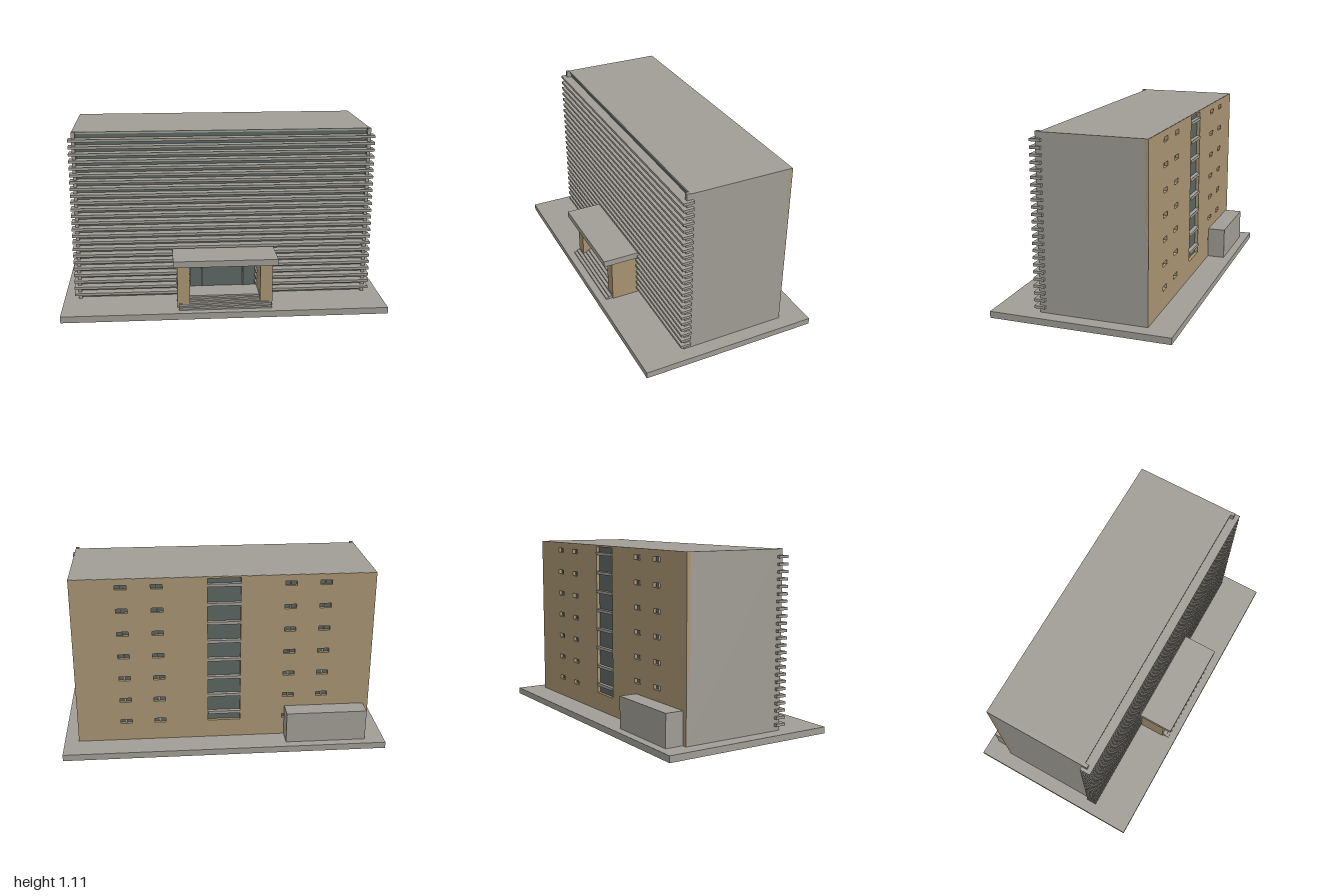
import * as THREE from 'three';

export function createModel() {
  const model = new THREE.Group();
  model.name = 'officeBlock';
  const material = (name, color) => {
    const m = new THREE.MeshStandardMaterial({ color });
    m.name = name;
    return m;
  };
  const concrete = material('concrete', 0xa09d95);
  const stone = material('sandstone', 0xa89472);
  const glass = material('glass', 0x5c6663);

  // Box given by its limits on each axis
  const box = (name, mat, x0, x1, y0, y1, z0, z1, parent = model) => {
    const mesh = new THREE.Mesh(new THREE.BoxGeometry(x1 - x0, y1 - y0, z1 - z0), mat);
    mesh.position.set((x0 + x1) / 2, (y0 + y1) / 2, (z0 + z1) / 2);
    mesh.name = name;
    parent.add(mesh);
    return mesh;
  };
  const group = (name) => {
    const g = new THREE.Group();
    g.name = name;
    model.add(g);
    return g;
  };

  const GROUND = 0.04, ROOF = 1.104, BACK = -0.388;

  // Plinth, side walls, roof and glazed core
  box('plinth', concrete, -1, 1, 0, GROUND, -0.553, 0.553);
  for (const s of [-1, 1]) {
    const [a, b] = [s * 0.89, s * 0.912].sort((p, q) => p - q);
    box('sideWall', concrete, a, b, GROUND, ROOF, BACK + 0.002, 0.25);
    box('frontPilaster', concrete, a, b, GROUND, ROOF + 0.003, 0.25, 0.272);
  }
  box('roof', concrete, -0.89, 0.89, ROOF - 0.012, ROOF, BACK + 0.002, 0.25);
  box('glazedCore', glass, -0.89, 0.89, GROUND, ROOF - 0.012, BACK + 0.02, 0.242);

  // Horizontal sunshade fins, interrupted at the entrance
  const fins = group('sunshadeFins');
  for (let i = 0; i < 24; i++) {
    const y = 0.077 + i * 0.0427;
    const spans = i < 6 ? [[-0.932, -0.205], [0.205, 0.932]] : [[-0.932, 0.932]];
    for (const [x0, x1] of spans) {
      box('fin', concrete, x0, x1, y - 0.008, y + 0.008, 0.235, 0.3, fins);
    }
  }

  // Entrance: canopy, piers, steps and door mullions
  const entrance = group('entrance');
  box('canopy', concrete, -0.318, 0.318, 0.322, 0.361, 0.242, 0.522, entrance);
  for (const s of [-1, 1]) {
    box('pier', stone, s * 0.255 - 0.038, s * 0.255 + 0.038, GROUND, 0.322, 0.242, 0.462, entrance);
    box('doorMullion', concrete, s * 0.131 - 0.004, s * 0.131 + 0.004, 0.095, 0.315, 0.24, 0.256, entrance);
  }
  for (let i = 0; i < 6; i++) {
    const w = i < 3 ? 0.285 : 0.217;
    const y = GROUND + i * 0.009;
    box('step', concrete, -w, w, y, y + 0.009, 0.242, 0.506 - i * 0.02, entrance);
  }

  // Rear wall pierced by a stair window and rows of small windows
  const rect = (Type, x0, x1, y0, y1) => {
    const r = new Type();
    r.moveTo(x0, y0).lineTo(x1, y0).lineTo(x1, y1).lineTo(x0, y1).closePath();
    return r;
  };
  const wall = rect(THREE.Shape, -0.912, 0.912, GROUND, ROOF - 0.001);
  wall.holes.push(rect(THREE.Path, -0.1, 0.1, 0.155, 1.094));
  const details = group('rearWindowDetails');
  for (let row = 0; row < 7; row++) {
    const y = 1.05 - row * 0.147;
    for (const x of [-0.61, -0.4, 0.4, 0.61]) {
      wall.holes.push(rect(THREE.Path, x - 0.035, x + 0.035, y - 0.014, y + 0.014));
      box('windowBar', concrete, x - 0.004, x + 0.004, y - 0.014, y + 0.014, BACK + 0.012, BACK + 0.025, details);
    }
  }
  const rear = new THREE.Mesh(
    new THREE.ExtrudeGeometry(wall, { depth: 0.024, bevelEnabled: false }), stone);
  rear.position.z = BACK;
  rear.name = 'rearWall';
  model.add(rear);

  // Ledges across the stair window
  for (let i = 0; i < 8; i++) {
    const y = 0.21 + i * 0.12;
    box('stairLedge', concrete, -0.1, 0.1, y - 0.009, y + 0.009, BACK - 0.005, BACK + 0.025, details);
  }

  // Low annex behind the building
  box('rearAnnex', concrete, -0.88, -0.38, GROUND, 0.237, -0.5, BACK + 0.002);

  return model;
}
